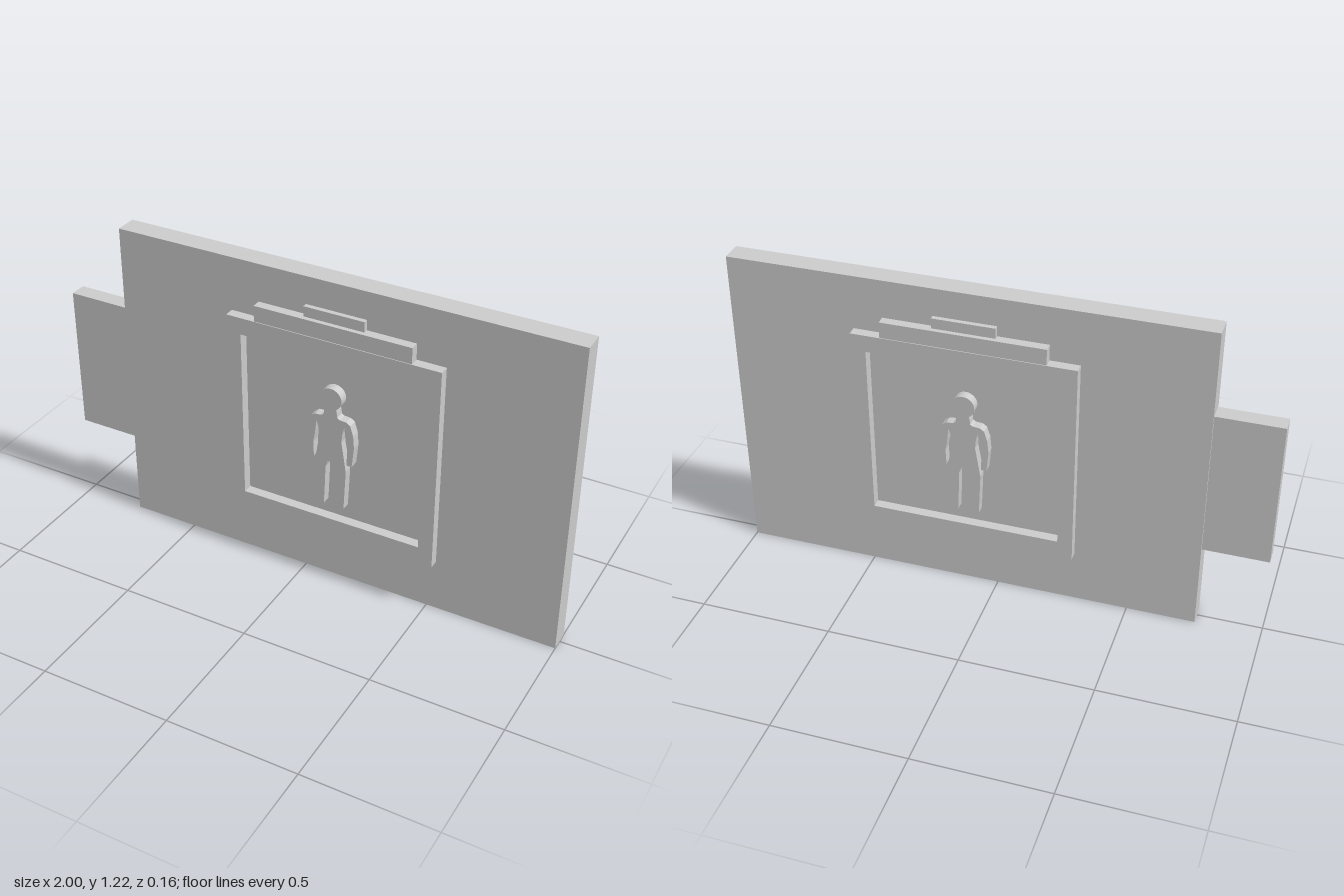
import * as THREE from 'three';

const material = new THREE.MeshStandardMaterial({ color: 0xcccccc });
const HALF = 0.042; // half thickness of the panel
const CENTRE = 0.117; // x of the sign on the panel

function add(parent, name, geometry, x = 0, y = 0, z = 0) {
  const mesh = new THREE.Mesh(geometry, material);
  mesh.name = name;
  mesh.position.set(x, y, z);
  parent.add(mesh);
  return mesh;
}

// Box given by its limits in x and y and by its z range
function slab(parent, name, x0, x1, y0, y1, z0, z1) {
  return add(parent, name, new THREE.BoxGeometry(x1 - x0, y1 - y0, z1 - z0),
    (x0 + x1) / 2, (y0 + y1) / 2, (z0 + z1) / 2);
}

function rectangle(PathType, x0, x1, y0, y1) {
  return new PathType([[x0, y0], [x1, y0], [x1, y1], [x0, y1]].map(p => new THREE.Vector2(...p)));
}

const extrude = (shape, depth) => new THREE.ExtrudeGeometry(shape, { depth, bevelEnabled: false });

// Standing person: half an outline from neck to crotch, mirrored, closed by a round head
function personShape() {
  const half = [
    [0.025, 0.735], [0.027, 0.717], [0.037, 0.711], [0.062, 0.709], [0.078, 0.698],
    [0.09, 0.66], [0.094, 0.61], [0.086, 0.53], [0.065, 0.53], [0.068, 0.59],
    [0.061, 0.63], [0.055, 0.685], [0.048, 0.66], [0.044, 0.62], [0.053, 0.565],
    [0.063, 0.5], [0.056, 0.337], [0.024, 0.337], [0.02, 0.43], [0.018, 0.5], [0.01, 0.525],
  ];
  const points = half.map(([x, y]) => new THREE.Vector2(x, y));
  half.slice().reverse().forEach(([x, y]) => points.push(new THREE.Vector2(-x, y)));
  const r = 0.043, cy = 0.785, gap = 0.55;
  for (let i = 0; i <= 20; i++) {
    const a = -Math.PI / 2 - gap - (i / 20) * (Math.PI * 2 - gap * 2);
    points.push(new THREE.Vector2(Math.cos(a) * r, cy + Math.sin(a) * r));
  }
  return new THREE.Shape(points);
}

// Raised relief for one face of the panel
function createRelief(name) {
  const relief = new THREE.Group();
  relief.name = name;
  const frame = rectangle(THREE.Shape, -0.412, 0.412, 0.207, 1.012);
  frame.holes.push(rectangle(THREE.Path, -0.356, 0.356, 0.277, 0.947));
  add(relief, 'frame', extrude(frame, 0.08 - HALF), 0, 0, HALF);
  slab(relief, 'frameCap', -0.302, 0.302, 1.012, 1.073, HALF, 0.077);
  slab(relief, 'capBar', -0.116, 0.116, 1.073, 1.112, HALF, 0.06);
  add(relief, 'personFigure', extrude(personShape(), 0.077 - HALF), 0, 0, HALF);
  relief.position.x = CENTRE;
  return relief;
}

export function createModel() {
  const model = new THREE.Group();
  model.name = 'signPanel';
  slab(model, 'panel', -0.757, 1, 0, 1.218, -HALF, HALF);
  slab(model, 'mountingTab', -1, -0.757, 0.33, 0.893, -0.032, 0.032);

  // The same relief on both faces
  model.add(createRelief('frontRelief'));
  const back = createRelief('backRelief');
  back.rotation.y = Math.PI;
  model.add(back);
  return model;
}
